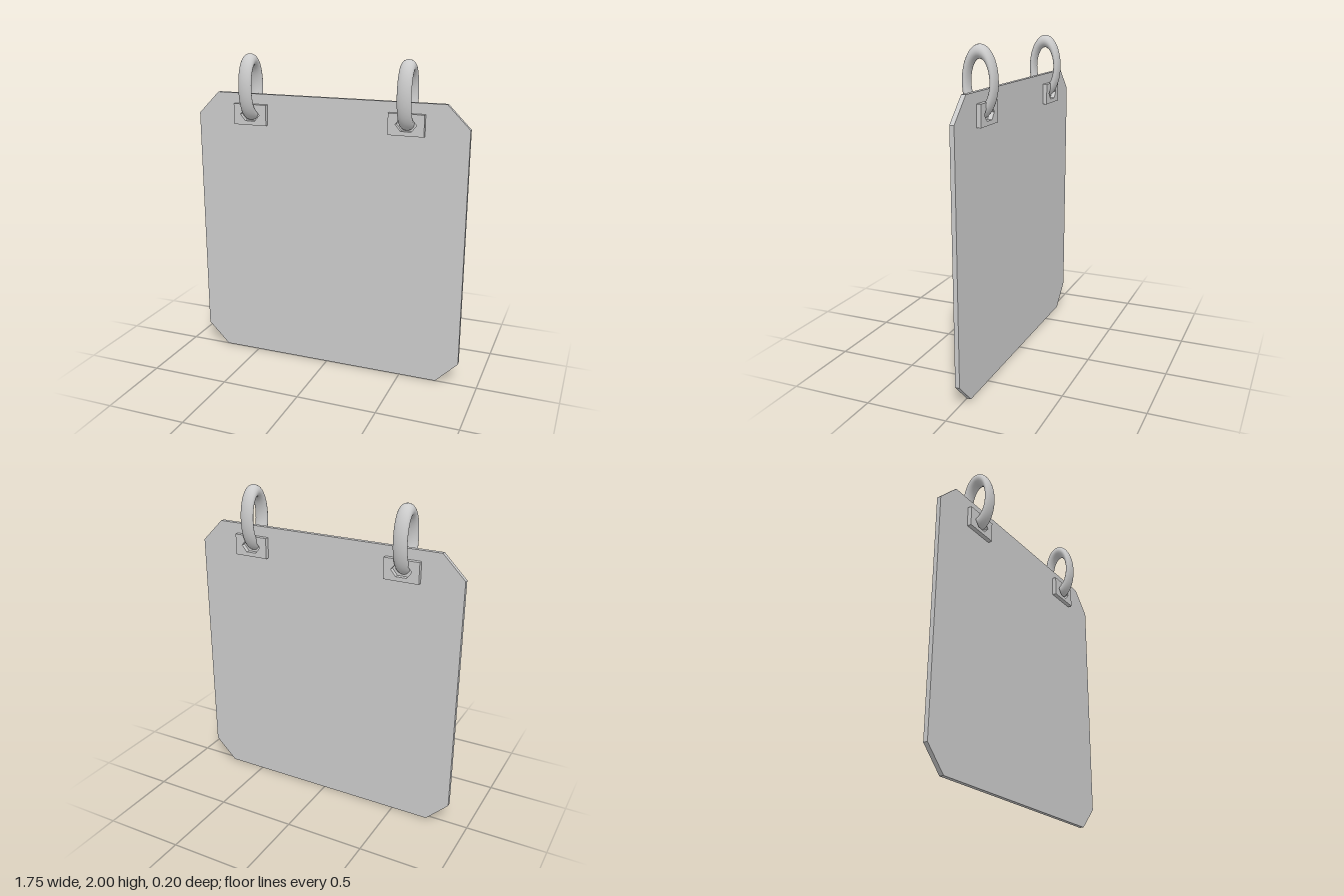
import * as THREE from 'three';

const PLATE_Z = -0.013; // mid-plane of the board

function polygon(points) {
  return points.map(([x, y]) => new THREE.Vector2(x, y));
}

// Extrudes a shape and centres its thickness on the given z
function slab(shape, depth, z) {
  const geometry = new THREE.ExtrudeGeometry(shape, { depth, bevelEnabled: false });
  return geometry.translate(0, 0, z - depth / 2);
}

export function createModel() {
  const group = new THREE.Group();
  const grey = new THREE.MeshStandardMaterial({ color: 0xcccccc });

  const add = (name, geometry, parent = group) => {
    const mesh = new THREE.Mesh(geometry, grey);
    mesh.name = name;
    parent.add(mesh);
    return mesh;
  };

  // Board with clipped corners
  const w = 0.877, h = 1.754, c = 0.14;
  const outline = new THREE.Shape(polygon([
    [-w + c, 0], [w - c, 0], [w, c], [w, h - c],
    [w - c, h], [-w + c, h], [-w, h - c], [-w, c],
  ]));
  add('board', slab(outline, 0.027, PLATE_Z));

  // Reinforcing tab with a six-sided eyelet
  const tabShape = new THREE.Shape(polygon([
    [-0.11, -0.065], [0.11, -0.065], [0.11, 0.065], [-0.11, 0.065],
  ]));
  const eyelet = [];
  for (let i = 0; i < 6; i++) {
    const a = (-i * Math.PI) / 3;
    eyelet.push([0.065 * Math.cos(a), 0.045 * Math.sin(a)]);
  }
  tabShape.holes.push(new THREE.Path(polygon(eyelet)));

  // Oval hanging ring, standing in the yz plane
  const ringGeometry = new THREE.TorusGeometry(0.165, 0.04, 20, 48);
  ringGeometry.rotateY(Math.PI / 2);
  ringGeometry.scale(1.09, 1, 0.5);

  for (const [side, x] of [['left', 0.503], ['right', -0.506]]) {
    const hanger = new THREE.Group();
    hanger.name = side + 'Hanger';
    hanger.position.x = x;
    group.add(hanger);

    // One tab on each face of the board
    for (const [face, s] of [['Front', 1], ['Back', -1]]) {
      const tab = add(side + face + 'Tab', slab(tabShape, 0.027, PLATE_Z + s * 0.027), hanger);
      tab.position.y = 1.625;
    }
    add(side + 'Ring', ringGeometry, hanger).position.y = 1.795;
  }

  return group;
}
